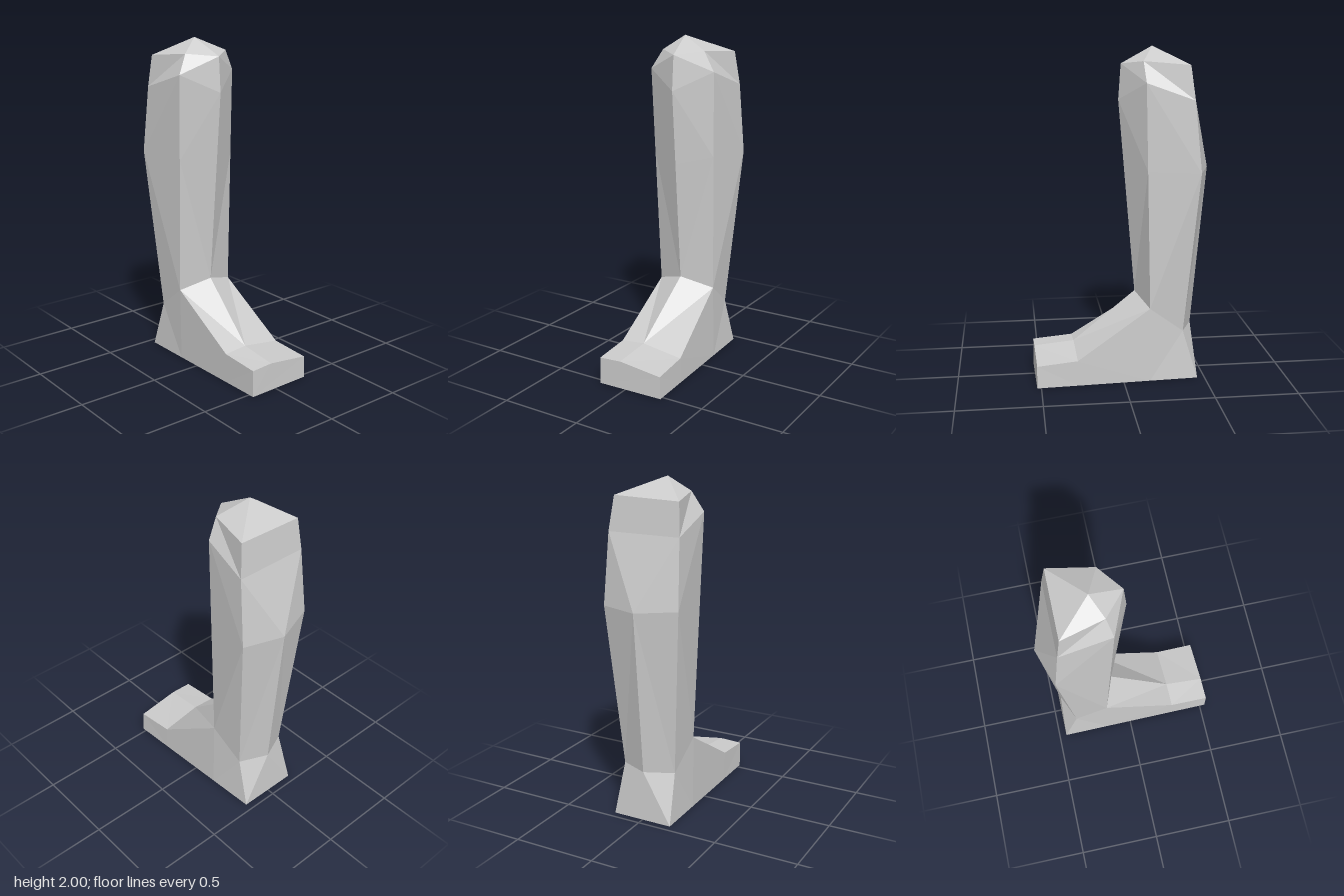
import * as THREE from 'three';

const lerp = (a, b, t) => a.map((v, k) => v + (b[k] - v) * t);

// Skin between two sections. The diagonals mirror about the middle;
// 'down' runs them from the first section to the outer end of the second.
function loft(out, a, b, closed, down) {
  const n = closed ? a.length : a.length - 1;
  for (let i = 0; i < n; i++) {
    const j = (i + 1) % a.length;
    if ((i < n / 2) === down) out.push(a[i], b[i], b[j], a[i], b[j], a[j]);
    else out.push(a[i], b[i], a[j], b[i], b[j], a[j]);
  }
}

// Triangle fan around the first point of a convex outline
function fan(out, pts) {
  for (let i = 1; i < pts.length - 1; i++) out.push(pts[0], pts[i], pts[i + 1]);
}

function facetedMesh(name, tris) {
  const geo = new THREE.BufferGeometry();
  geo.setAttribute('position', new THREE.Float32BufferAttribute(tris.flat(), 3));
  geo.computeVertexNormals();
  const mesh = new THREE.Mesh(geo, new THREE.MeshStandardMaterial({ color: 0xcccccc, flatShading: true }));
  mesh.name = name;
  return mesh;
}

export function createModel() {
  const group = new THREE.Group();
  group.name = 'lowerLeg';

  // Six-sided leg sections: shin ridge, left front, left back, back ridge, right back, right front
  const apex = [-0.035, 2, -0.195];
  const rim = [[0, 1.9, -0.005], [0.14, 1.92, -0.12], [0.2, 1.9, -0.385],
    [0, 1.895, -0.385], [-0.21, 1.89, -0.385], [-0.15, 1.915, -0.13]];
  const knee = [[0, 1.69, 0.01], [0.2, 1.8, -0.13], [0.225, 1.7, -0.41],
    [0, 1.7, -0.41], [-0.225, 1.7, -0.41], [-0.215, 1.8, -0.1]];
  const ankle = [[0, 0.515, -0.09], [0.195, 0.455, -0.16], [0.17, 0.3, -0.365],
    [0, 0.3, -0.44], [-0.17, 0.3, -0.365], [-0.185, 0.455, -0.16]];
  const mid = (i) => lerp(knee[i], ankle[i], 0.38);
  const calf = [mid(0), mid(1), [0.24, 1.28, -0.45], [0, 1.28, -0.53], [-0.24, 1.3, -0.45], mid(5)];

  // Leg with its pointed cap
  const leg = [];
  rim.forEach((p, i) => leg.push(apex, p, rim[(i + 1) % 6]));
  loft(leg, rim, knee, true, true);
  loft(leg, knee, calf, true, true);
  loft(leg, calf, ankle, true, false);
  group.add(facetedMesh('leg', leg));

  // Floor outline of the foot
  const heelL = [0.19, 0, -0.455], heelR = [-0.185, 0, -0.455];
  const toeL = [0.24, 0, 0.525], toeR = [-0.175, 0, 0.535];
  const floorL = (t) => lerp(heelL, toeL, t), floorR = (t) => lerp(heelR, toeR, t);

  // Foot sections, from right floor over the instep to left floor
  const instep = [floorR(0.3), ankle[5], ankle[0], ankle[1], floorL(0.3)];
  const bend = [floorR(0.75), [-0.18, 0.183, 0.29], [-0.03, 0.195, 0.287], [0.225, 0.155, 0.28], floorL(0.75)];
  const toe = [toeR, [-0.175, 0.163, 0.533], [-0.035, 0.17, 0.53], [0.235, 0.135, 0.523], toeL];
  const foot = [];
  loft(foot, instep, bend, false, true);
  loft(foot, bend, toe, false, true);
  fan(foot, [toe[0], toe[4], toe[3], toe[2], toe[1]]);
  fan(foot, [heelR, heelL, toeL, toeR]);
  group.add(facetedMesh('foot', foot));

  // Heel flaring from the ankle to the floor
  const heel = [];
  loft(heel, ankle.slice(1), [floorL(0.3), heelL, lerp(heelL, heelR, 0.5), heelR, floorR(0.3)], false, false);
  group.add(facetedMesh('heel', heel));

  return group;
}
